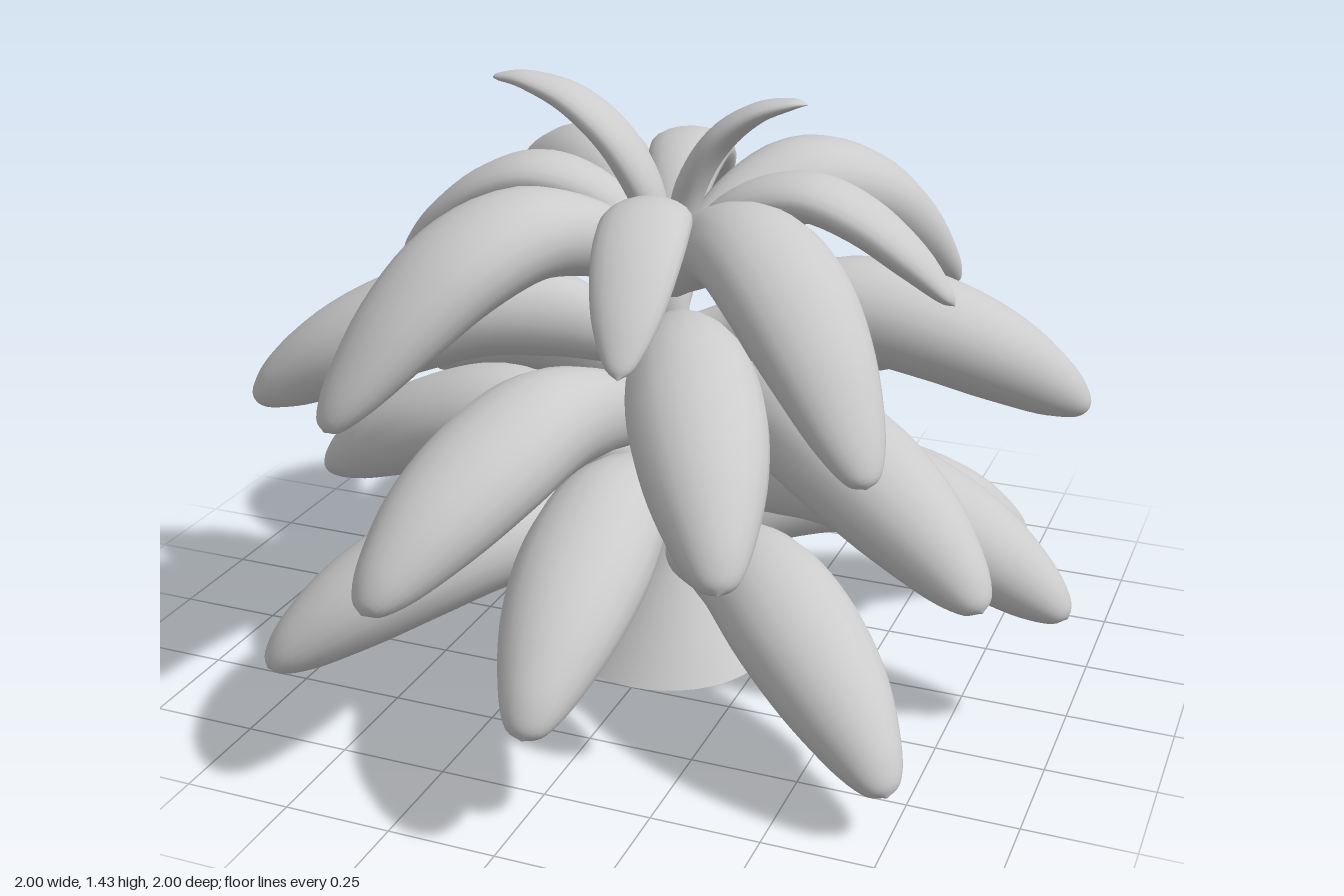
import * as THREE from 'three';

const material = new THREE.MeshStandardMaterial({ color: 0xcccccc });
const openMaterial = new THREE.MeshStandardMaterial({ color: 0xcccccc, side: THREE.DoubleSide });

// Leaf growing along +x. Each station: [reach, height, half width, half thickness]
function leafGeometry(stations, steps = 36, sides = 20) {
  const curve = (k) => new THREE.CatmullRomCurve3(
    stations.map((s) => new THREE.Vector3(s[0], s[1], s[k])), false, 'catmullrom', 0.5);
  const widths = curve(2), thicknesses = curve(3);
  const positions = [], index = [];
  for (let i = 0; i <= steps; i++) {
    const u = i / steps;
    const p = widths.getPoint(u);
    const thick = Math.max(0, thicknesses.getPoint(u).z);
    const wide = Math.max(0, p.z);
    // direction of the midrib, in the vertical plane of the leaf
    const a = widths.getPoint(Math.max(0, u - 0.01));
    const b = widths.getPoint(Math.min(1, u + 0.01));
    const len = Math.hypot(b.x - a.x, b.y - a.y);
    const tx = (b.x - a.x) / len, ty = (b.y - a.y) / len;
    for (let j = 0; j < sides; j++) {
      const angle = (j / sides) * Math.PI * 2;
      const up = Math.cos(angle) * thick;
      positions.push(p.x - ty * up, p.y + tx * up, Math.sin(angle) * wide);
      if (i === steps) continue;
      const j2 = (j + 1) % sides;
      const q = i * sides, r = q + sides;
      index.push(q + j, q + j2, r + j, q + j2, r + j2, r + j);
    }
  }
  const geometry = new THREE.BufferGeometry();
  geometry.setAttribute('position', new THREE.Float32BufferAttribute(positions, 3));
  geometry.setIndex(index);
  geometry.computeVertexNormals();
  return geometry;
}

// Broad drooping leaf shared by the four lower tiers
const broadLeaf = [
  [0, 0.27, 0.045, 0.055], [0.14, 0.3, 0.06, 0.075], [0.28, 0.345, 0.095, 0.105],
  [0.45, 0.365, 0.135, 0.123], [0.62, 0.32, 0.148, 0.122], [0.78, 0.25, 0.128, 0.108],
  [0.91, 0.175, 0.085, 0.075], [0.98, 0.13, 0.045, 0.035], [1.0, 0.115, 0, 0],
];
const archedLeaf = [
  [0, 0.96, 0.045, 0.05], [0.1, 1.03, 0.06, 0.07], [0.24, 1.105, 0.1, 0.09],
  [0.4, 1.135, 0.135, 0.105], [0.56, 1.085, 0.145, 0.105], [0.7, 0.985, 0.125, 0.09],
  [0.82, 0.87, 0.085, 0.06], [0.885, 0.8, 0.042, 0.03], [0.9, 0.782, 0, 0],
];
const slimLeaf = [
  [0, 0.92, 0.03, 0.03], [0.07, 1.05, 0.05, 0.04], [0.18, 1.15, 0.08, 0.05],
  [0.32, 1.187, 0.1, 0.053], [0.45, 1.145, 0.098, 0.05], [0.57, 1.06, 0.075, 0.04],
  [0.65, 0.985, 0.035, 0.02], [0.675, 0.96, 0, 0],
];
const leftCrownLeaf = [
  [0.01, 0.95, 0.025, 0.025], [0.025, 1.1, 0.045, 0.035], [0.06, 1.2, 0.065, 0.04],
  [0.13, 1.3, 0.075, 0.038], [0.23, 1.375, 0.068, 0.032], [0.34, 1.41, 0.046, 0.02],
  [0.41, 1.412, 0.02, 0.009], [0.43, 1.408, 0, 0],
];
const rightCrownLeaf = [
  [0.01, 0.95, 0.025, 0.025], [0.025, 1.12, 0.045, 0.035], [0.06, 1.22, 0.062, 0.035],
  [0.12, 1.305, 0.065, 0.033], [0.2, 1.365, 0.055, 0.024], [0.28, 1.392, 0.032, 0.013],
  [0.32, 1.394, 0, 0],
];
const raise = (stations, dy) => stations.map(([r, y, w, t]) => [r, y + dy, w, t]);

// Tiers from bottom to top; the tips give each leaf's direction as [x, z]
const tiers = [
  { name: 'bottomLeaf', shape: broadLeaf, tips: [[0.75, 0.665], [0.75, -0.665]] },
  { name: 'secondTierLeaf', shape: raise(broadLeaf, 0.175), tips: [[1, 0.07], [0.07, 1]] },
  { name: 'thirdTierLeaf', shape: raise(broadLeaf, 0.362), tips: [[0.88, 0.465], [-0.315, 0.95]] },
  { name: 'fourthTierLeaf', shape: raise(broadLeaf, 0.525), tips: [[0.94, -0.335], [0.45, 0.89]] },
  { name: 'archedLeaf', shape: archedLeaf, tips: [[0.66, 0.605], [-0.5, 0.745]] },
  { name: 'slimLeaf', shape: slimLeaf, tips: [[0.66, -0.045], [0.145, 0.66]] },
];

export function createModel() {
  const model = new THREE.Group();
  model.name = 'leafyPlant';

  // Flared hollow foot running into a thin stem
  const profile = [[0.25, 0], [0.19, 0.095], [0.145, 0.18], [0.115, 0.24], [0.085, 0.32],
    [0.065, 0.45], [0.055, 0.65], [0.05, 0.85], [0.035, 1.0], [0, 1.04]];
  const stem = new THREE.Mesh(
    new THREE.LatheGeometry(profile.map(([r, y]) => new THREE.Vector2(r, y)), 40), openMaterial);
  stem.name = 'stem';
  model.add(stem);

  const addLeaf = (name, geometry, x, z) => {
    const leaf = new THREE.Mesh(geometry, material);
    leaf.name = name;
    leaf.rotation.y = Math.atan2(-z, x);
    model.add(leaf);
    return leaf;
  };

  // Every leaf has a partner on the opposite side of the stem
  for (const { name, shape, tips } of tiers) {
    const geometry = leafGeometry(shape);
    for (const [x, z] of tips) {
      addLeaf(name, geometry, x, z);
      addLeaf(name, geometry, -x, -z);
    }
  }

  // Two upright leaves at the crown
  addLeaf('leftCrownLeaf', leafGeometry(rightCrownLeaf), 1, 0).position.z = -0.033;
  addLeaf('rightCrownLeaf', leafGeometry(leftCrownLeaf), -1, 0).position.z = 0.03;

  return model;
}
